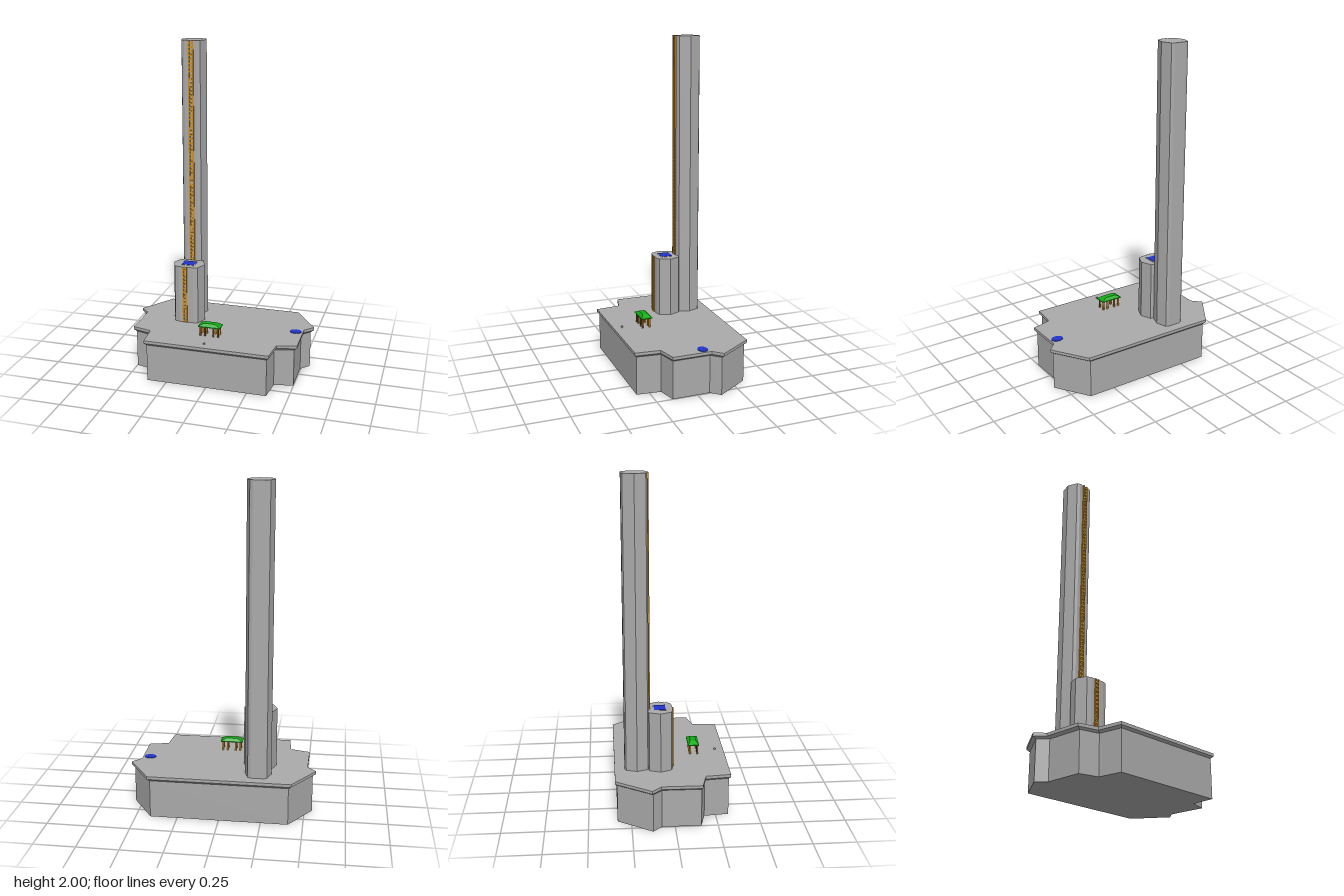
import * as THREE from 'three';

const mat = (name, color) => {
  const m = new THREE.MeshStandardMaterial({ color });
  m.name = name;
  return m;
};

// Vertical prism over an [x, z] outline; the outline is scaled by s0 at the foot and s1 at the top
function prism(outline, y0, y1, s0 = [1, 1], s1 = [1, 1]) {
  const shape = new THREE.Shape(outline.map(([x, z]) => new THREE.Vector2(x, -z)));
  const geo = new THREE.ExtrudeGeometry(shape, { depth: 1, bevelEnabled: false });
  geo.rotateX(-Math.PI / 2);
  const p = geo.attributes.position;
  for (let i = 0; i < p.count; i++) {
    const top = p.getY(i) > 0.5, s = top ? s1 : s0;
    p.setXYZ(i, p.getX(i) * s[0], top ? y1 : y0, p.getZ(i) * s[1]);
  }
  geo.computeVertexNormals();
  return geo;
}

export function createModel() {
  const model = new THREE.Group();
  const stone = mat('grey stone', 0xaaaaaa);
  const gold = mat('golden wood', 0xd08c18);
  const brown = mat('brown wood', 0x80501a);
  const green = mat('green roof', 0x11aa14);
  const blue = mat('blue water', 0x2233cc);

  const add = (name, geo, material, parent = model, x = 0, y = 0, z = 0) => {
    const mesh = new THREE.Mesh(geo, material);
    mesh.name = name;
    mesh.position.set(x, y, z);
    parent.add(mesh);
    return mesh;
  };

  // Plinth: mirrored outline, inset wall, flared cornice and deck
  const half = [[0.427, -0.342], [0.566, -0.134], [0.513, -0.079],
    [0.516, 0.158], [0.397, 0.188], [0.383, 0.338]];
  const outline = [...half, ...half.map(([x, z]) => [-x, z]).reverse()];
  const inset = [0.966, 0.966], deckY = 0.263;
  add('plinthWall', prism(outline, 0, 0.232, inset, inset), stone);
  add('plinthCornice', prism(outline, 0.232, 0.245, inset), stone);
  add('plinthDeck', prism(outline, 0.245, deckY), stone);

  // Towers: symmetric prisms with clipped corners
  const towerOutline = (w, shoulder, flat, d) => {
    const q = [[flat, -d], [shoulder, -d + 0.009], [w, 0], [shoulder, d - 0.009], [flat, d]];
    return [...q, ...q.map(([x, z]) => [-x, z]).reverse()];
  };
  const tall = prism(towerOutline(0.079, 0.057, 0.039, 0.073), deckY, 2);
  add('tallTower', tall, stone, model, -0.224, 0, -0.209);
  const short = prism(towerOutline(0.1, 0.074, 0.045, 0.074), deckY, 0.63);
  add('shortTower', short, stone, model, -0.223, 0, -0.071);

  // Ladders: two rails and evenly spaced rungs
  function ladder(name, x, z, width, y0, y1) {
    const g = new THREE.Group();
    g.name = name;
    g.position.set(x, 0, z);
    const rail = new THREE.BoxGeometry(0.008, y1 - y0, 0.008);
    const rung = new THREE.BoxGeometry(width - 0.008, 0.011, 0.006);
    for (const s of [-1, 1]) add('rail', rail, gold, g, s * (width / 2 - 0.004), (y0 + y1) / 2, 0);
    for (let y = y0 + 0.012; y < y1 - 0.005; y += 0.024) add('rung', rung, gold, g, 0, y, 0);
    model.add(g);
  }
  ladder('tallLadder', -0.222, -0.132, 0.032, 0.63, 2);
  ladder('shortLadder', -0.23, 0.006, 0.028, deckY, 0.63);

  // Pools: thin plates on the short tower and on the deck
  add('squarePoolRim', new THREE.BoxGeometry(0.086, 0.002, 0.077), stone, model, -0.224, 0.631, -0.071);
  add('squarePool', new THREE.BoxGeometry(0.078, 0.003, 0.068), blue, model, -0.224, 0.632, -0.071);
  const round = new THREE.CylinderGeometry(1, 1, 0.003, 20);
  round.scale(0.036, 1, 0.029);
  add('roundPool', round, blue, model, 0.468, deckY + 0.0015, -0.041);

  // Pavilion: hipped roof on two rows of posts
  const pavilion = new THREE.Group();
  pavilion.name = 'pavilion';
  pavilion.position.set(-0.023, 0, 0.146);
  model.add(pavilion);
  const eaves = [[-0.069, -0.034], [0.069, -0.034], [0.069, 0.034], [-0.069, 0.034]];
  add('eaves', prism(eaves, 0.321, 0.326), green, pavilion);
  add('hippedRoof', prism(eaves, 0.326, 0.342, [1, 1], [0.5, 0.5]), green, pavilion);
  const post = new THREE.BoxGeometry(0.009, 0.06, 0.009);
  for (const x of [-0.055, -0.026, 0.026, 0.055]) {
    add('frontPost', post, brown, pavilion, x, deckY + 0.029, 0.024);
    add('backPost', post, gold, pavilion, x, deckY + 0.029, -0.02);
  }

  // Small marker on the deck
  add('deckMarker', new THREE.BoxGeometry(0.01, 0.01, 0.01), stone, model, -0.02, deckY + 0.005, 0.285);

  return model;
}
